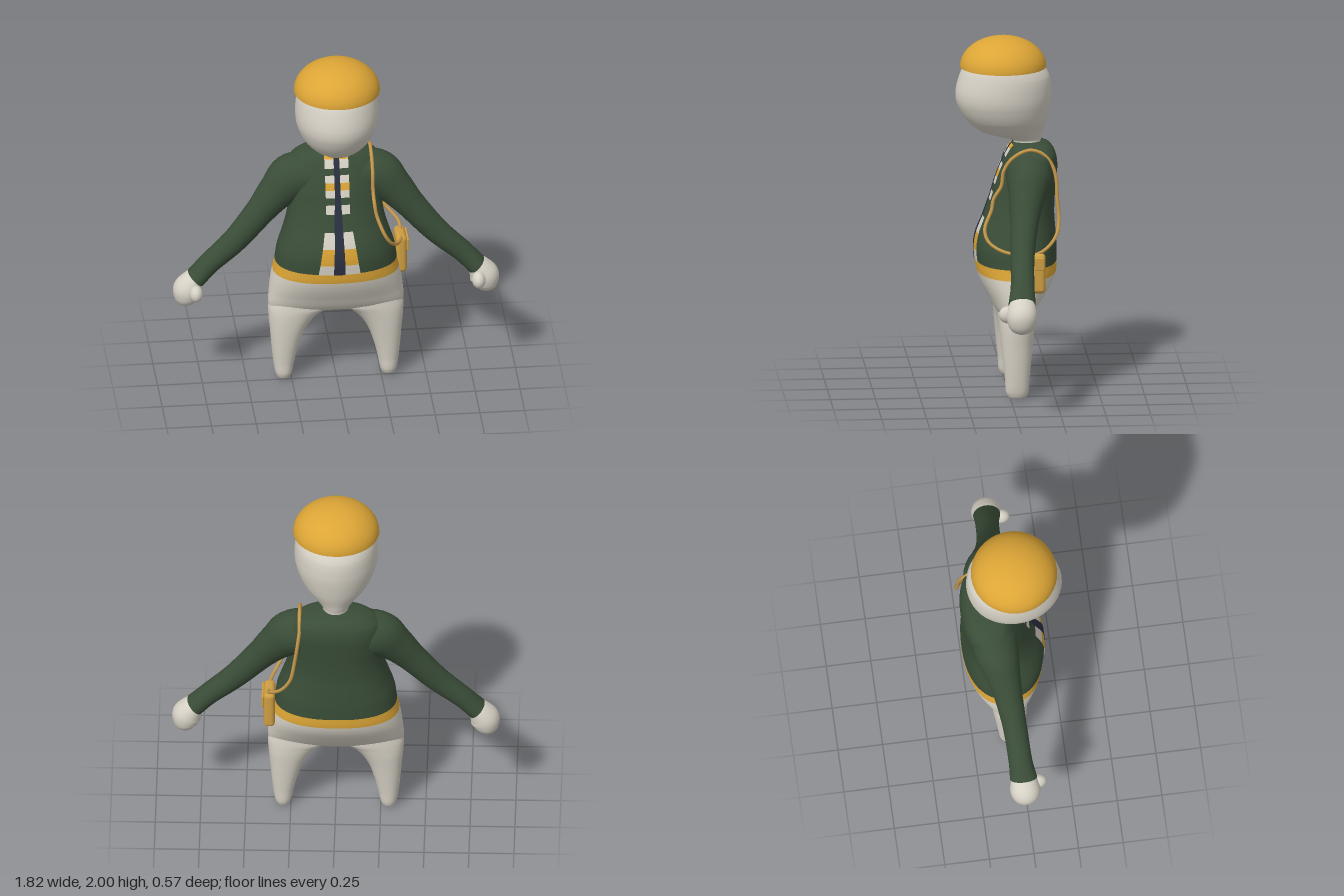
import * as THREE from 'three';
import { RoundedBoxGeometry } from 'three/addons/geometries/RoundedBoxGeometry.js';

const mat = (name, color, side = THREE.FrontSide) => {
  const m = new THREE.MeshStandardMaterial({ color, side });
  m.name = name;
  return m;
};

// Smooth interpolation of key rows [y, a, b, ...] at height y
function at(keys, y) {
  let i = 0;
  while (i < keys.length - 2 && y > keys[i + 1][0]) i++;
  const p = keys[i], q = keys[i + 1], h = q[0] - p[0];
  const t = THREE.MathUtils.clamp((y - p[0]) / h, 0, 1);
  const slope = (k, c) => {
    const a = keys[Math.max(k - 1, 0)], b = keys[Math.min(k + 1, keys.length - 1)];
    return (b[c] - a[c]) / (b[0] - a[0]);
  };
  return p.map((v, c) => {
    if (c === 0) return y;
    const t2 = t * t, t3 = t2 * t;
    return v * (2 * t3 - 3 * t2 + 1) + q[c] * (3 * t2 - 2 * t3)
      + h * (slope(i, c) * (t3 - 2 * t2 + t) + slope(i + 1, c) * (t3 - t2));
  });
}

// Closed skin over rings of points, with a fan at each end
function skin(rings) {
  const m = rings[0].length, n = rings.length, pos = [], idx = [];
  rings.forEach(r => r.forEach(p => pos.push(p.x, p.y, p.z)));
  for (let i = 0; i < n - 1; i++) for (let j = 0; j < m; j++) {
    const k = (j + 1) % m, a = i * m + j, b = i * m + k, c = a + m, d = b + m;
    idx.push(a, c, b, b, c, d);
  }
  [0, n - 1].forEach((ri, e) => {
    const c = rings[ri].reduce((s, p) => s.add(p), new THREE.Vector3()).divideScalar(m);
    const base = pos.length / 3;
    rings[ri].forEach(p => pos.push(p.x, p.y, p.z));
    pos.push(c.x, c.y, c.z);
    for (let j = 0; j < m; j++) {
      const a = base + j, b = base + (j + 1) % m;
      e ? idx.push(a, base + m, b) : idx.push(a, b, base + m);
    }
  });
  const g = new THREE.BufferGeometry();
  g.setAttribute('position', new THREE.Float32BufferAttribute(pos, 3));
  g.setIndex(idx);
  g.computeVertexNormals();
  return g;
}

// Horizontal rounded sections; keys are [y, xMin, xMax, zFront, zBack]
function stack(keys, y0, y1, n = 2, steps = 40, m = 48) {
  const e = v => Math.sign(v) * Math.pow(Math.abs(v), 2 / n);
  const ys = keys.map(k => k[0]).filter(y => y > y0 + 1e-4 && y < y1 - 1e-4);
  for (let i = 0; i <= steps; i++) ys.push(y0 + (y1 - y0) * i / steps);
  return skin([...new Set(ys)].sort((a, b) => a - b).map(y => {
    const [, x0, x1, zf, zb] = at(keys, y);
    return Array.from({ length: m }, (_, j) => {
      const t = j / m * Math.PI * 2;
      return new THREE.Vector3((x0 + x1) / 2 + e(Math.cos(t)) * (x1 - x0) / 2, y,
        (zf + zb) / 2 + e(Math.sin(t)) * (zf - zb) / 2);
    });
  }));
}

// Limb along keys [x, y, z, radius, zRadius]
function limb(keys, steps = 32, m = 28) {
  const path = new THREE.CatmullRomCurve3(keys.map(k => new THREE.Vector3(k[0], k[1], k[2])));
  const size = new THREE.CatmullRomCurve3(keys.map(k => new THREE.Vector3(k[3], k[4], 0)));
  return skin(Array.from({ length: steps + 1 }, (_, i) => {
    const c = path.getPoint(i / steps), r = size.getPoint(i / steps), d = path.getTangent(i / steps);
    const l = Math.hypot(d.x, d.y);
    return Array.from({ length: m }, (_, j) => {
      const t = j / m * Math.PI * 2, u = Math.cos(t) * r.x;
      return new THREE.Vector3(c.x + u * d.y / l, c.y - u * d.x / l, c.z + Math.sin(t) * r.y);
    });
  }));
}

function mirrored(geo) {
  const g = geo.clone().scale(-1, 1, 1), ix = g.index.array;
  for (let i = 0; i < ix.length; i += 3) [ix[i], ix[i + 1]] = [ix[i + 1], ix[i]];
  g.computeVertexNormals();
  return g;
}

const sym = rows => rows.map(([y, w, f, b]) => [y, -w, w, f, b]);
const ROUND = 2.3;
const BODY = sym([
  [0.44, 0.36, 0.03, -0.115], [0.47, 0.378, 0.07, -0.145], [0.55, 0.374, 0.115, -0.205],
  [0.62, 0.365, 0.15, -0.25], [0.68, 0.353, 0.17, -0.272], [0.74, 0.34, 0.176, -0.275],
  [0.82, 0.328, 0.18, -0.275], [0.9, 0.302, 0.165, -0.27], [1.0, 0.273, 0.125, -0.263],
  [1.1, 0.26, 0.09, -0.266], [1.2, 0.264, 0.06, -0.275], [1.28, 0.262, 0.03, -0.28],
  [1.34, 0.245, 0.002, -0.27], [1.38, 0.19, -0.02, -0.245], [1.395, 0.13, -0.033, -0.215],
  [1.405, 0.07, -0.05, -0.18],
]);
const HEAD = sym([
  [1.37, 0.075, -0.035, -0.185], [1.415, 0.072, -0.03, -0.19], [1.435, 0.092, 0.05, -0.196],
  [1.46, 0.122, 0.14, -0.202], [1.53, 0.185, 0.225, -0.224], [1.62, 0.223, 0.277, -0.242],
  [1.69, 0.232, 0.286, -0.248], [1.78, 0.225, 0.264, -0.238], [1.84, 0.205, 0.235, -0.2],
  [1.9, 0.155, 0.17, -0.14], [1.94, 0.08, 0.09, -0.06],
]);
const LEG = [
  [0, 0.275, 0.315, -0.01, -0.065], [0.01, 0.256, 0.33, 0.012, -0.088], [0.04, 0.245, 0.341, 0.026, -0.1],
  [0.1, 0.234, 0.35, 0.03, -0.105], [0.2, 0.21, 0.36, 0.04, -0.115], [0.3, 0.175, 0.368, 0.05, -0.125],
  [0.37, 0.13, 0.375, 0.056, -0.133], [0.42, 0.075, 0.378, 0.06, -0.137], [0.45, 0.015, 0.378, 0.062, -0.14],
  [0.5, -0.02, 0.365, 0.06, -0.14],
];

// Thin plate lying on the front of the torso between two x limits
function frontPlate(y0, y1, xa, xb, lift) {
  const g = new THREE.PlaneGeometry(1, 1, 6, Math.max(2, Math.ceil((y1 - y0) / 0.012)));
  const p = g.attributes.position;
  for (let i = 0; i < p.count; i++) {
    const y = y0 + (y1 - y0) * (p.getY(i) + 0.5);
    const x = xa(y) + (xb(y) - xa(y)) * (p.getX(i) + 0.5);
    const [, , w, f, b] = at(BODY, y);
    const k = Math.pow(Math.max(0, 1 - Math.pow(Math.abs(x) / w, ROUND)), 1 / ROUND);
    p.setXYZ(i, x, y, (f + b) / 2 + k * (f - b) / 2 + lift);
  }
  g.computeVertexNormals();
  return g;
}

export function createModel() {
  const root = new THREE.Group();
  root.name = 'figure';
  const cream = mat('cream', 0xd6d1c5, THREE.DoubleSide);
  const green = mat('jacketGreen', 0x3a4d38, THREE.DoubleSide);
  const gold = mat('gold', 0xdca536, THREE.DoubleSide);
  const navy = mat('navy', 0x2a3040, THREE.DoubleSide);
  const tan = mat('strapTan', 0xc4974a);
  const bagGold = mat('bagGold', 0xcd9e42);
  const add = (name, geo, material, parent = root) => {
    const mesh = new THREE.Mesh(geo, material);
    mesh.name = name;
    parent.add(mesh);
    return mesh;
  };

  // Head and cap
  add('head', stack(HEAD, 1.37, 1.94), cream);
  const cap = add('cap', new THREE.SphereGeometry(1, 48, 16, 0, Math.PI * 2, 0, Math.PI / 2), gold);
  cap.scale.set(0.24, 0.17, 0.24);
  cap.position.set(0, 1.83, 0.02);

  // Torso, belt and hips
  add('jacket', stack(BODY, 0.74, 1.405, ROUND), green);
  add('belt', stack(BODY, 0.68, 0.74, ROUND, 6), gold);
  add('hips', stack(BODY, 0.44, 0.68, ROUND, 16), cream);

  // Limbs, built on the left and mirrored
  const sleeve = limb([
    [0.1, 1.25, -0.11, 0.11, 0.13], [0.235, 1.222, -0.11, 0.134, 0.125], [0.33, 1.14, -0.09, 0.105, 0.1],
    [0.42, 1.035, -0.07, 0.083, 0.08], [0.565, 0.868, -0.048, 0.07, 0.067],
    [0.708, 0.737, -0.038, 0.06, 0.066], [0.785, 0.655, -0.03, 0.058, 0.076],
  ]);
  const hand = limb([
    [0.775, 0.668, -0.03, 0.05, 0.065], [0.803, 0.632, -0.028, 0.068, 0.078], [0.828, 0.587, -0.026, 0.083, 0.085],
    [0.835, 0.54, -0.026, 0.07, 0.075], [0.832, 0.508, -0.026, 0.045, 0.05], [0.83, 0.492, -0.026, 0.012, 0.015],
  ], 24);
  const thumb = new THREE.SphereGeometry(1, 20, 14).scale(0.038, 0.048, 0.05).translate(0.79, 0.595, 0.05);
  const leg = stack(LEG, 0, 0.5, 2.2, 36, 32);
  Object.entries({ Sleeve: [sleeve, green], Hand: [hand, cream], Thumb: [thumb, cream], Leg: [leg, cream] })
    .forEach(([part, [geo, material]]) => {
      add('left' + part, geo, material);
      add('right' + part, mirrored(geo), material);
    });

  // Striped shirt panel in the jacket opening, with a navy tie band
  const panel = new THREE.Group();
  panel.name = 'shirtPanel';
  root.add(panel);
  const edge = y => 0.067 + 0.05 * THREE.MathUtils.clamp((1.06 - y) / 0.32, 0, 1);
  const stripes = [
    [1.37, 1.393, gold], [1.325, 1.37, cream], [1.25, 1.29, cream], [1.21, 1.25, gold], [1.17, 1.21, cream],
    [1.08, 1.13, cream], [0.895, 0.985, cream], [0.8, 0.895, gold], [0.74, 0.8, cream],
  ];
  stripes.forEach(([y0, y1, m], i) =>
    add('stripe' + (i + 1), frontPlate(y0, y1, y => -edge(y), edge, 0.004), m, panel));
  const band = y => 0.016 + 0.017 * THREE.MathUtils.clamp((1.2 - y) / 0.46, 0, 1);
  add('tieBand', frontPlate(0.74, 1.395, y => -band(y), band, 0.007), navy, panel);

  // Shoulder strap loop
  const loop = [
    [0.2, 1.393, -0.11], [0.2, 1.35, -0.02], [0.2, 1.28, 0.03], [0.2, 1.19, 0.045], [0.205, 1.12, 0.087],
    [0.215, 1.06, 0.1], [0.255, 0.96, 0.14], [0.29, 0.9, 0.125], [0.33, 0.855, 0.06], [0.365, 0.835, -0.04],
    [0.37, 0.832, -0.12], [0.365, 0.865, -0.19], [0.3, 0.93, -0.255], [0.25, 1.01, -0.273],
    [0.225, 1.13, -0.265], [0.21, 1.235, -0.26], [0.2, 1.315, -0.235], [0.2, 1.375, -0.18],
  ].map(p => new THREE.Vector3(...p));
  add('strap', new THREE.TubeGeometry(new THREE.CatmullRomCurve3(loop, true), 120, 0.01, 8, true), tan);

  // Side bag with flap
  const bag = new THREE.Group();
  bag.name = 'bag';
  bag.position.set(0.368, 0.73, -0.11);
  root.add(bag);
  add('bagBody', new RoundedBoxGeometry(0.062, 0.225, 0.16, 4, 0.024), bagGold, bag);
  add('bagFlap', new RoundedBoxGeometry(0.014, 0.072, 0.145, 3, 0.006), bagGold, bag).position.set(0.036, 0.06, 0);
  return root;
}
